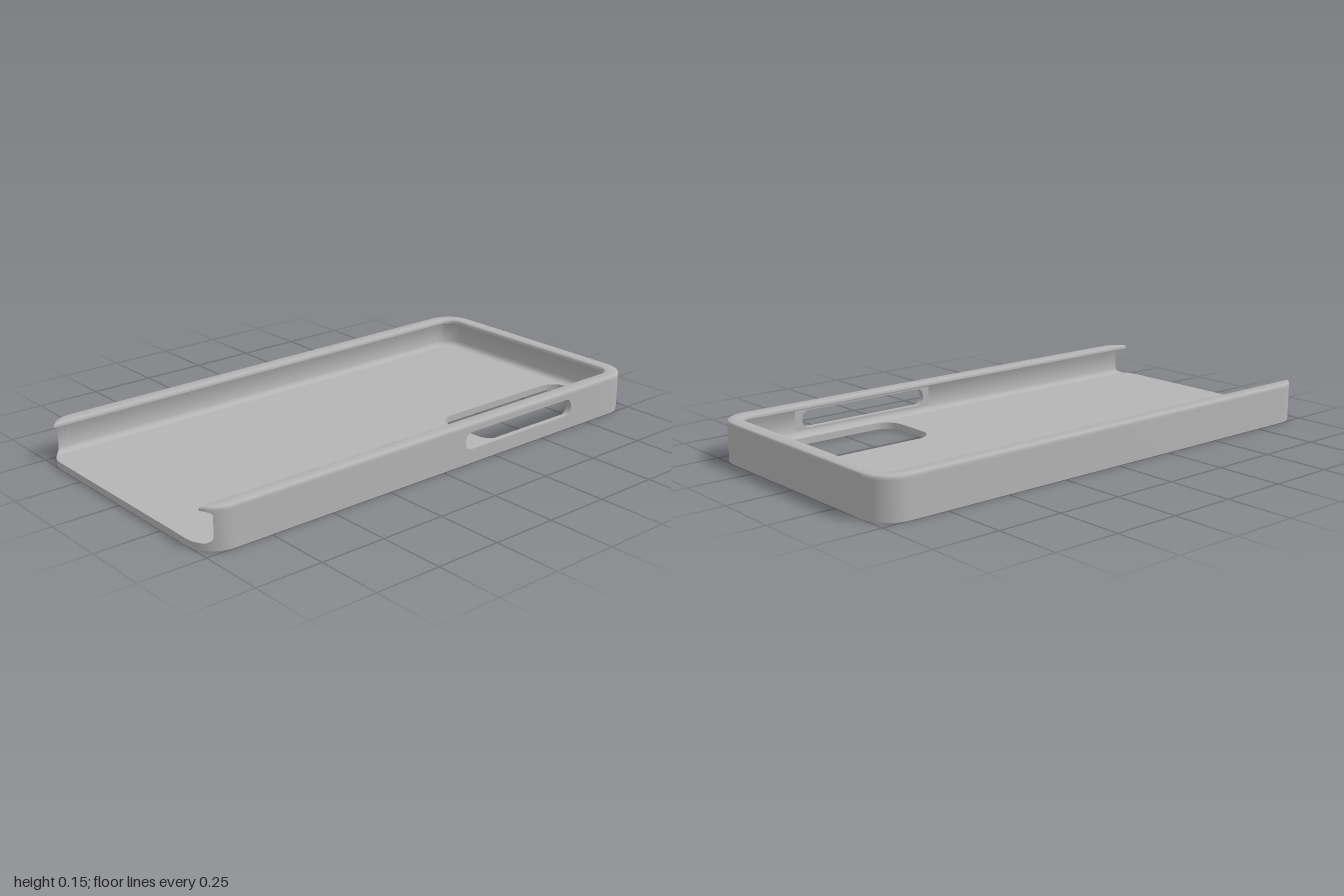
import * as THREE from 'three';
import { toCreasedNormals } from 'three/addons/utils/BufferGeometryUtils.js';

const HALF_W = 0.5, HALF_L = 1, R = 0.11, FLOOR = 0.025;
const CX = HALF_W - R, CZ = HALF_L - R; // corner centres
const SLOT = { z0: -0.08, z1: -0.69, y0: 0.045, y1: 0.122 }; // wall area replaced by the slot panel

// Wall profile: height, inner half-width, outer edge inset
const LEVELS = [
  [FLOOR, 0.455, 0], [0.028, 0.466, 0], [0.034, 0.474, 0], [SLOT.y0, 0.478, 0],
  [SLOT.y1, 0.478, 0], [0.129, 0.474, 0], [0.133, 0.464, 0], [0.135, 0.445, 0],
  [0.145, 0.445, 0], [0.148, 0.447, 0.002], [0.15, 0.451, 0.006],
];

function roundedRect(target, x0, y0, x1, y1, r) {
  target.moveTo(x0 + r, y0);
  target.lineTo(x1 - r, y0);
  target.absarc(x1 - r, y0 + r, r, -Math.PI / 2, 0);
  target.lineTo(x1, y1 - r);
  target.absarc(x1 - r, y1 - r, r, 0, Math.PI / 2);
  target.lineTo(x0 + r, y1);
  target.absarc(x0 + r, y1 - r, r, Math.PI / 2, Math.PI);
  target.lineTo(x0, y0 + r);
  target.absarc(x0 + r, y0 + r, r, Math.PI, Math.PI * 1.5);
  return target;
}

// Paired outer and inner points of the U-shaped wall at one height
function wallLevel([y, w, inset]) {
  const r = R - inset, inner = [], outer = [];
  const innerR = R - (HALF_W - w);
  const end = Math.acos((w - CX) / r);
  const add = (ox, oz, ix, iz) => {
    outer.push(new THREE.Vector3(ox, y, oz));
    inner.push(new THREE.Vector3(ix, y, iz));
  };
  // front corner, cut off by the open cavity
  for (let i = 10; i >= 0; i--) {
    const t = end * i / 10, z = CZ + r * Math.sin(t);
    add(CX + r * Math.cos(t), z, w, z);
  }
  for (const z of [SLOT.z0, SLOT.z1]) add(HALF_W - inset, z, w, z);
  // back corner
  for (let i = 0; i <= 14; i++) {
    const t = Math.PI / 2 * i / 14, c = Math.cos(t), s = Math.sin(t);
    add(CX + r * c, -CZ - r * s, CX + innerR * c, -CZ - innerR * s);
  }
  // mirrored half
  const mirror = (list) => list.concat(list.slice().reverse().map((p) => new THREE.Vector3(-p.x, p.y, p.z)));
  return { outer: mirror(outer), inner: mirror(inner) };
}

function wallGeometry() {
  const levels = LEVELS.map(wallLevel);
  const pos = [];
  const quad = (a, b, c, d) => [a, b, c, a, c, d].forEach((p) => pos.push(p.x, p.y, p.z));
  const columns = levels[0].outer.length - 1;
  for (let j = 0; j < levels.length - 1; j++) {
    const lo = levels[j], hi = levels[j + 1];
    for (let i = 0; i < columns; i++) {
      if (i === 11 && LEVELS[j][0] === SLOT.y0) continue; // room for the slot panel
      quad(lo.outer[i], lo.outer[i + 1], hi.outer[i + 1], hi.outer[i]);
      quad(lo.inner[i + 1], lo.inner[i], hi.inner[i], hi.inner[i + 1]);
    }
  }
  const top = levels[levels.length - 1];
  for (let i = 0; i < columns; i++) quad(top.outer[i], top.outer[i + 1], top.inner[i + 1], top.inner[i]);
  const geometry = new THREE.BufferGeometry();
  geometry.setAttribute('position', new THREE.Float32BufferAttribute(pos, 3));
  return toCreasedNormals(geometry, 0.6);
}

export function createModel() {
  const group = new THREE.Group();
  group.name = 'phoneCase';
  const grey = new THREE.MeshStandardMaterial({ color: 0xb4b4b4 });
  grey.name = 'caseGrey';
  const add = (name, geometry) => {
    const mesh = new THREE.Mesh(geometry, grey);
    mesh.name = name;
    group.add(mesh);
    return mesh;
  };

  // Back plate with the camera opening (shape y becomes -z)
  const plate = roundedRect(new THREE.Shape(), -HALF_W, -HALF_L, HALF_W, HALF_L, R);
  plate.holes.push(roundedRect(new THREE.Path(), 0.165, 0.29, 0.447, 0.945, 0.075));
  const plateGeometry = new THREE.ExtrudeGeometry(plate, { depth: FLOOR, bevelEnabled: false, curveSegments: 14 });
  plateGeometry.rotateX(-Math.PI / 2);
  add('backPlate', toCreasedNormals(plateGeometry, 0.6));

  // Rim with the overhanging lip, open at the front
  add('sideWall', wallGeometry());

  // Side wall panel with the button slot (shape x becomes -z)
  const panel = new THREE.Shape();
  panel.moveTo(-SLOT.z0, SLOT.y0);
  panel.lineTo(-SLOT.z1, SLOT.y0);
  panel.lineTo(-SLOT.z1, SLOT.y1);
  panel.lineTo(-SLOT.z0, SLOT.y1);
  panel.closePath();
  panel.holes.push(roundedRect(new THREE.Path(), 0.107, 0.053, 0.66, 0.118, 0.03));
  const panelGeometry = new THREE.ExtrudeGeometry(panel, { depth: 0.022, bevelEnabled: false, curveSegments: 8 });
  panelGeometry.rotateY(Math.PI / 2);
  add('buttonSlotPanel', toCreasedNormals(panelGeometry, 0.6)).position.x = 0.478;

  return group;
}
